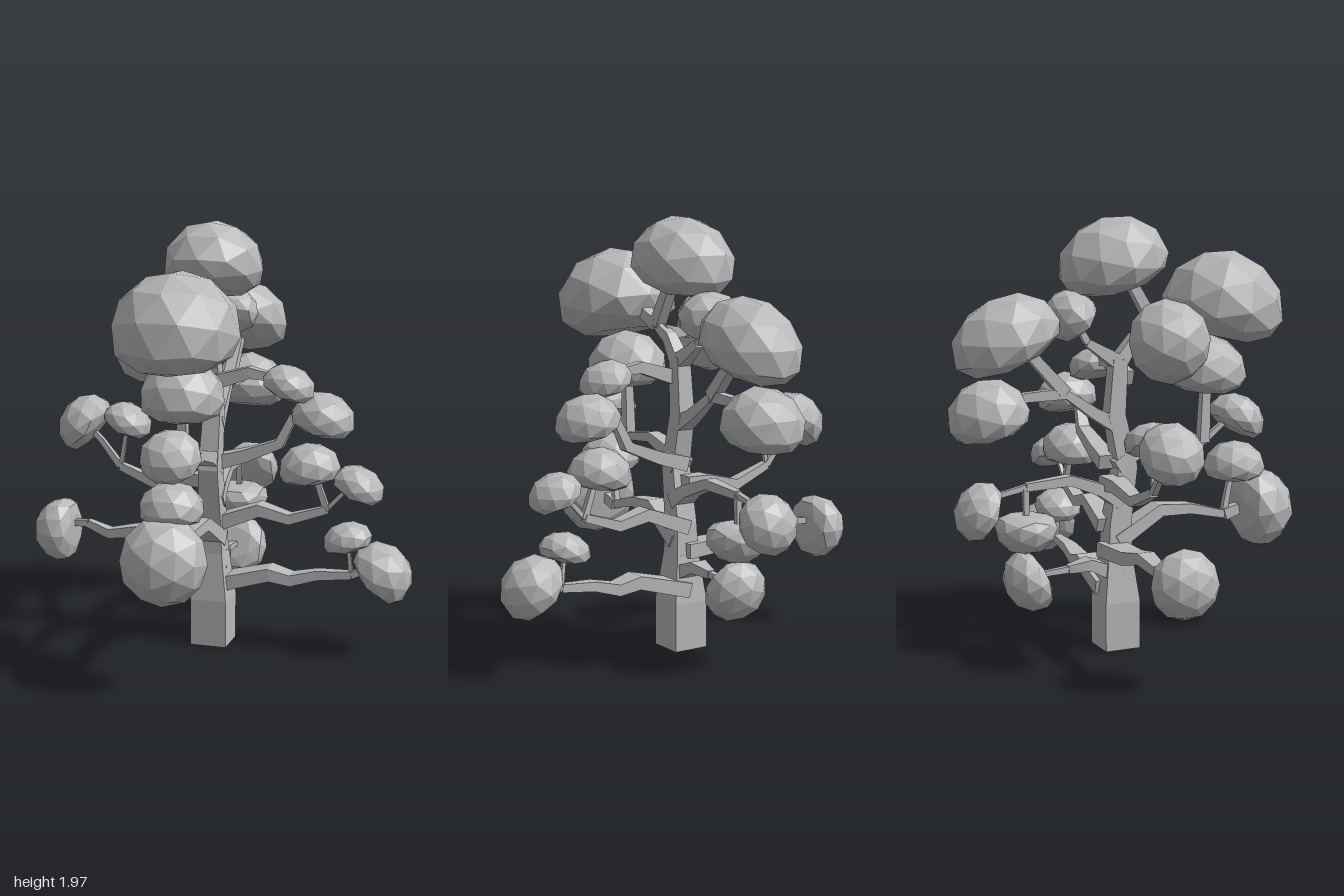
import * as THREE from 'three';

const grey = new THREE.MeshStandardMaterial({ color: 0xb8b8b8, flatShading: true });
grey.name = 'matt grey';

function addMesh(parent, geometry, name) {
  const mesh = new THREE.Mesh(geometry, grey);
  mesh.name = name;
  parent.add(mesh);
  return mesh;
}

// Four-sided limb along [across, up] points, tapering from half width r0 to r1; its root is "side0" broad
function limb(parent, name, path, r0, r1, side0 = r0) {
  const pts = path.map(([a, y]) => new THREE.Vector2(a, y));
  const last = pts.length - 1, positions = [], index = [];
  pts.forEach((p, i) => {
    const t = pts[Math.min(i + 1, last)].clone().sub(pts[Math.max(i - 1, 0)]).normalize();
    const r = THREE.MathUtils.lerp(r0, r1, i / last);
    const s = THREE.MathUtils.lerp(side0, r1, i / last);
    for (const [side, up] of [[1, 1], [-1, 1], [-1, -1], [1, -1]]) {
      positions.push(p.x + t.y * up * r, p.y - t.x * up * r, side * s);
    }
    for (let k = 0; k < 4 && i < last; k++) {
      const a = i * 4 + k, b = i * 4 + (k + 1) % 4;
      index.push(a, b, b + 4, a, b + 4, a + 4);
    }
  });
  const e = last * 4;
  index.push(0, 2, 1, 0, 3, 2, e, e + 1, e + 2, e, e + 2, e + 3);
  const indexed = new THREE.BufferGeometry();
  indexed.setAttribute('position', new THREE.Float32BufferAttribute(positions, 3));
  indexed.setIndex(index);
  const geometry = indexed.toNonIndexed();
  geometry.computeVertexNormals();
  addMesh(parent, geometry, name);
}

// Faceted dome with a flattened underside, tipped by "tilt" degrees; larger ones are fuller
function clump(parent, a, y, r, tilt, length = 1) {
  const geometry = new THREE.IcosahedronGeometry(r, 1);
  const p = geometry.attributes.position;
  const top = Math.min(0.95, 0.2 + 4.6 * r), base = Math.min(0.46, 0.25 + r);
  for (let i = 0; i < p.count; i++) {
    const h = p.getY(i);
    p.setY(i, h > 0 ? h * top : Math.max(h * 0.6, -base * r));
  }
  geometry.scale(length, 1, 1);
  geometry.translate(0, (base - top) * r / 2, 0);
  geometry.rotateZ(-THREE.MathUtils.degToRad(tilt));
  geometry.computeVertexNormals();
  addMesh(parent, geometry, 'foliageClump').position.set(a, y, 0);
}

// Bough: a main branch, then one bent twig from its tip to each clump [across, up, radius, tilt, length]
function bough(parent, path, clumps, offset = 0) {
  const group = new THREE.Group();
  group.name = 'bough';
  group.position.z = offset;
  parent.add(group);
  limb(group, 'branch', path, 0.034, 0.018, 0.08 - 0.035 * path[0][1]);
  const [fa, fy] = path[path.length - 1];
  for (const spec of clumps) {
    const [a, y, r] = spec;
    const w = Math.min(0.028, 0.7 * r * r);
    limb(group, 'twig', [[fa, fy], [(fa + a) / 2, (fy + y) / 2 + 0.015], [a, y]], w, w * 0.7);
    clump(group, ...spec);
  }
}

export function createModel() {
  const tree = new THREE.Group();
  tree.name = 'tree';

  // Plane running front to back (across = +z) and plane running left to right (across = +x)
  const depth = new THREE.Group();
  depth.name = 'frontAndBackLimbs';
  depth.rotation.y = -Math.PI / 2;
  depth.position.x = -0.03;
  const width = new THREE.Group();
  width.name = 'leftAndRightLimbs';
  width.position.z = -0.07;
  tree.add(depth, width);

  // Trunk: upright base, tapering shoulder, bent upper stem
  addMesh(tree, new THREE.BoxGeometry(0.17, 0.22, 0.17), 'trunkBase').position.set(-0.03, 0.11, -0.043);
  limb(depth, 'trunkShoulder', [[-0.043, 0.22], [-0.043, 0.44]], 0.085, 0.058);
  limb(depth, 'trunkStem', [[-0.043, 0.43], [-0.04, 0.58], [0, 0.84], [-0.05, 1.08], [-0.03, 1.33]], 0.058, 0.035);

  // Front boughs
  bough(depth, [[-0.05, 0.5], [0.17, 0.625], [0.33, 0.615], [0.51, 0.57]],
    [[0.72, 0.6, 0.195, 80], [0.565, 0.825, 0.145, 0]]);
  bough(depth, [[-0.05, 0.84], [0.06, 0.91], [0.19, 0.945], [0.4, 0.92]],
    [[0.415, 1.29, 0.19, 5], [0.59, 1.045, 0.138, 32]]);
  // Top bough
  bough(depth, [[-0.04, 1.3], [0.05, 1.42], [0.15, 1.47]],
    [[0.51, 1.605, 0.285, 13], [-0.065, 1.805, 0.23, -15, 1.13]]);
  // Back boughs
  bough(depth, [[-0.04, 0.34], [-0.18, 0.4], [-0.28, 0.385]], [[-0.49, 0.34, 0.145, -114]]);
  bough(depth, [[-0.03, 0.68], [-0.12, 0.74], [-0.27, 0.795], [-0.48, 0.78]],
    [[-0.72, 0.7, 0.138, -65], [-0.48, 0.565, 0.143, 180]]);
  bough(depth, [[-0.06, 1.04], [-0.15, 1.09], [-0.29, 1.19]],
    [[-0.66, 1.145, 0.187, -15], [-0.58, 1.48, 0.21, -25, 1.25]]);
  bough(depth, [[-0.04, 1.32], [-0.18, 1.41]], [[-0.28, 1.55, 0.15, -45, 0.8]]);

  // Right boughs
  bough(width, [[-0.02, 0.46], [-0.27, 0.47], [-0.41, 0.5], [-0.55, 0.475], [-0.66, 0.515]],
    [[-0.825, 0.475, 0.153, -88]]);
  bough(width, [[-0.02, 0.77], [-0.14, 0.77], [-0.31, 0.735], [-0.49, 0.805]],
    [[-0.685, 1.02, 0.146, -52], [-0.445, 1.04, 0.118, 25]]);
  bough(width, [[-0.03, 1.44], [-0.15, 1.43]], [[-0.315, 1.435, 0.19, -80]], 0.175);

  // Left boughs
  bough(width, [[-0.02, 0.28], [0.24, 0.35], [0.34, 0.328], [0.46, 0.36], [0.62, 0.372]],
    [[0.595, 0.555, 0.117, -15], [0.785, 0.415, 0.155, 48]]);
  bough(width, [[-0.02, 0.57], [0.19, 0.65], [0.33, 0.615], [0.5, 0.67]],
    [[0.415, 0.885, 0.145, -8], [0.655, 0.81, 0.123, 25]]);
  bough(width, [[-0.02, 0.86], [0.12, 0.9], [0.28, 0.965], [0.34, 1.09]], [[0.485, 1.12, 0.148, 14]]);
  bough(width, [[-0.03, 1.24], [0.16, 1.3], [0.25, 1.285]], [[0.345, 1.27, 0.123, 20]], 0.08);

  return tree;
}
